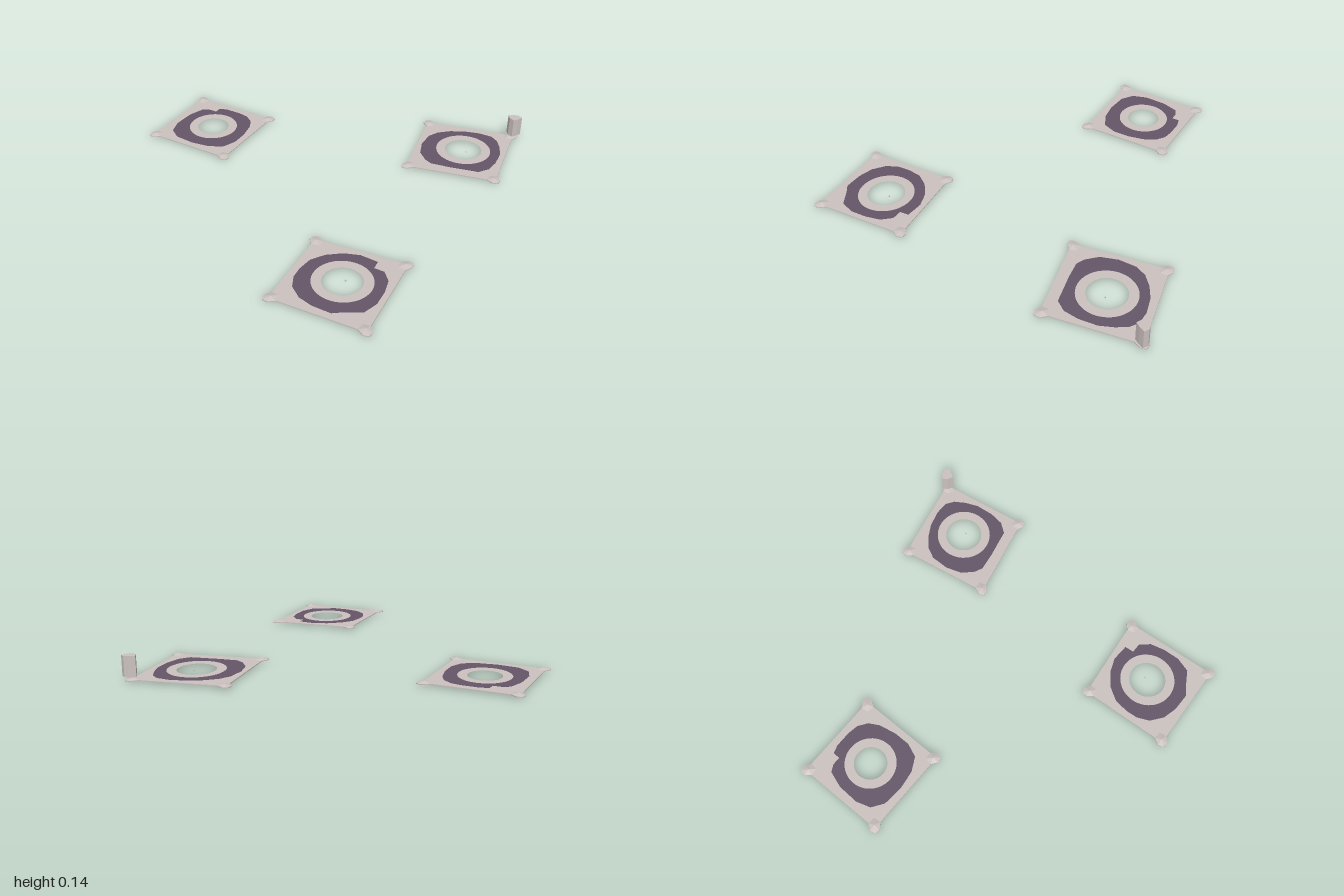
import * as THREE from 'three';

const beige = new THREE.MeshStandardMaterial({ color: 0xcbc2bf });
beige.name = 'warmGrey';
const purple = new THREE.MeshStandardMaterial({ color: 0x645668 });
purple.name = 'dullPurple';

const BASE = 0.007, TOP = 0.012;

// Body corners (back left, back right, front right, front left), hole and painted band
// as [x, z]; band points are hundredths of a unit from the hole centre.
const plates = [
  {
    name: 'leftPlate', hole: [-0.708, -0.172], r: 0.09, bandR: 0.14,
    corners: [[-0.957, -0.415], [-0.46, -0.418], [-0.46, 0.08], [-0.957, 0.08]],
    band: [[-17, -13], [-13, -15], [-8.5, -15], [-8.5, -19], [-4, -20.5], [5, -20.5], [11, -19.5], [16, -16], [19, -10.5],
      [21, -1], [21, 8.5], [18, 16], [10.5, 20], [0, 21.5], [-11.5, 20.5], [-18, 16], [-20.5, 8], [-20, -4]],
  },
  {
    name: 'backPlate', hole: [0.676, -0.676], r: 0.103, bandR: 0.153, speck: [0.695, -0.676],
    corners: [[0.378, -0.861], [0.869, -0.967], [0.948, -0.465], [0.462, -0.359]],
    band: [[-23, -4], [-20, -10], [-14.5, -15], [-7.5, -19], [1.5, -21.5], [9, -21.5], [13.5, -18.5], [17, -13], [20, -6],
      [21, 4], [20, 12], [16, 17.5], [9, 19], [0, 21], [-10, 22.5], [-14.5, 20.5], [-20, 15], [-23, 6]],
  },
  {
    name: 'frontPlate', hole: [0.626, 0.692], r: 0.1, bandR: 0.15, speck: [0.631, 0.671],
    corners: [[0.357, 0.476], [0.843, 0.423], [0.88, 0.94], [0.383, 0.967]],
    band: [[-22, 2], [-21, -6], [-16.5, -13], [-9.5, -18.5], [-1.5, -21.5], [8, -21], [8.5, -16], [14, -16], [18.5, -11],
      [20.5, -3], [21, 6], [18.5, 14], [10, 19], [6, 22], [-4, 22], [-12, 20], [-18.5, 15], [-21.5, 8.5]],
  },
];

// Flared ear at each corner: offsets along the next and the previous edge
const EAR = [[0, 0.045], [-0.024, 0.012], [-0.02, -0.014], [-0.014, -0.02], [0.012, -0.024], [0.045, 0]];

function mesh(name, geometry, material) {
  const m = new THREE.Mesh(geometry, material);
  m.name = name;
  return m;
}

// Upright prism from a floor outline of [x, z] points, with an optional round hole
function slab(points, y0, y1, hole, radius) {
  const shape = new THREE.Shape(points.map(([x, z]) => new THREE.Vector2(x, -z)));
  if (hole) shape.holes.push(new THREE.Path().absarc(hole[0], -hole[1], radius, 0, Math.PI * 2, true));
  const g = new THREE.ExtrudeGeometry(shape, { depth: y1 - y0, bevelEnabled: false, curveSegments: 24 });
  return g.rotateX(-Math.PI / 2).translate(0, y0, 0);
}

// Maps edge offsets at corner i to floor positions
function cornerFrame(corners, i) {
  const q = corners[i];
  const dir = (p) => {
    const l = Math.hypot(p[0] - q[0], p[1] - q[1]);
    return [(p[0] - q[0]) / l, (p[1] - q[1]) / l];
  };
  const a = dir(corners[(i + 1) % 4]), b = dir(corners[(i + 3) % 4]);
  return ([s, t]) => [q[0] + a[0] * s + b[0] * t, q[1] + a[1] * s + b[1] * t];
}

// Low faceted bump fanned around a raised peak
function bump(place) {
  const ring = [...EAR, [0.04, 0.04]].map(place);
  const [ax, az] = place([0.012, 0.012]);
  const pos = [];
  ring.forEach((p, i) => {
    const n = ring[(i + 1) % ring.length];
    pos.push(ax, 0.021, az, n[0], TOP, n[1], p[0], TOP, p[1]);
  });
  const g = new THREE.BufferGeometry();
  g.setAttribute('position', new THREE.Float32BufferAttribute(pos, 3));
  g.computeVertexNormals();
  return g;
}

export function createModel() {
  const model = new THREE.Group();
  model.name = 'plateSet';

  for (const p of plates) {
    const group = new THREE.Group();
    group.name = p.name;
    const frames = p.corners.map((_, i) => cornerFrame(p.corners, i));
    const outline = frames.flatMap((f) => EAR.map(f));
    group.add(mesh('plateBody', slab(outline, BASE, TOP, p.hole, p.r), beige));
    frames.forEach((f) => group.add(mesh('cornerBump', bump(f), beige)));

    // Painted band around the hole
    const band = p.band.map(([x, z]) => [p.hole[0] + x / 100, p.hole[1] + z / 100]);
    group.add(mesh('paintedBand', slab(band, TOP - 0.001, TOP + 0.001, p.hole, p.bandR), purple));

    // Tiny chip lying on the floor inside the hole
    if (p.speck) {
      const chip = mesh('floorChip', new THREE.BoxGeometry(0.006, 0.006, 0.006), beige);
      chip.position.set(p.speck[0], 0.003, p.speck[1]);
      group.add(chip);
    }
    model.add(group);
  }

  // Short post floating over the back plate's corner
  const post = [[0.828, -0.967], [0.862, -0.988], [0.882, -0.992], [0.906, -0.977], [0.893, -0.95], [0.875, -0.924], [0.845, -0.94]];
  model.add(mesh('cornerPost', slab(post, 0.03, 0.138), beige));

  return model;
}
